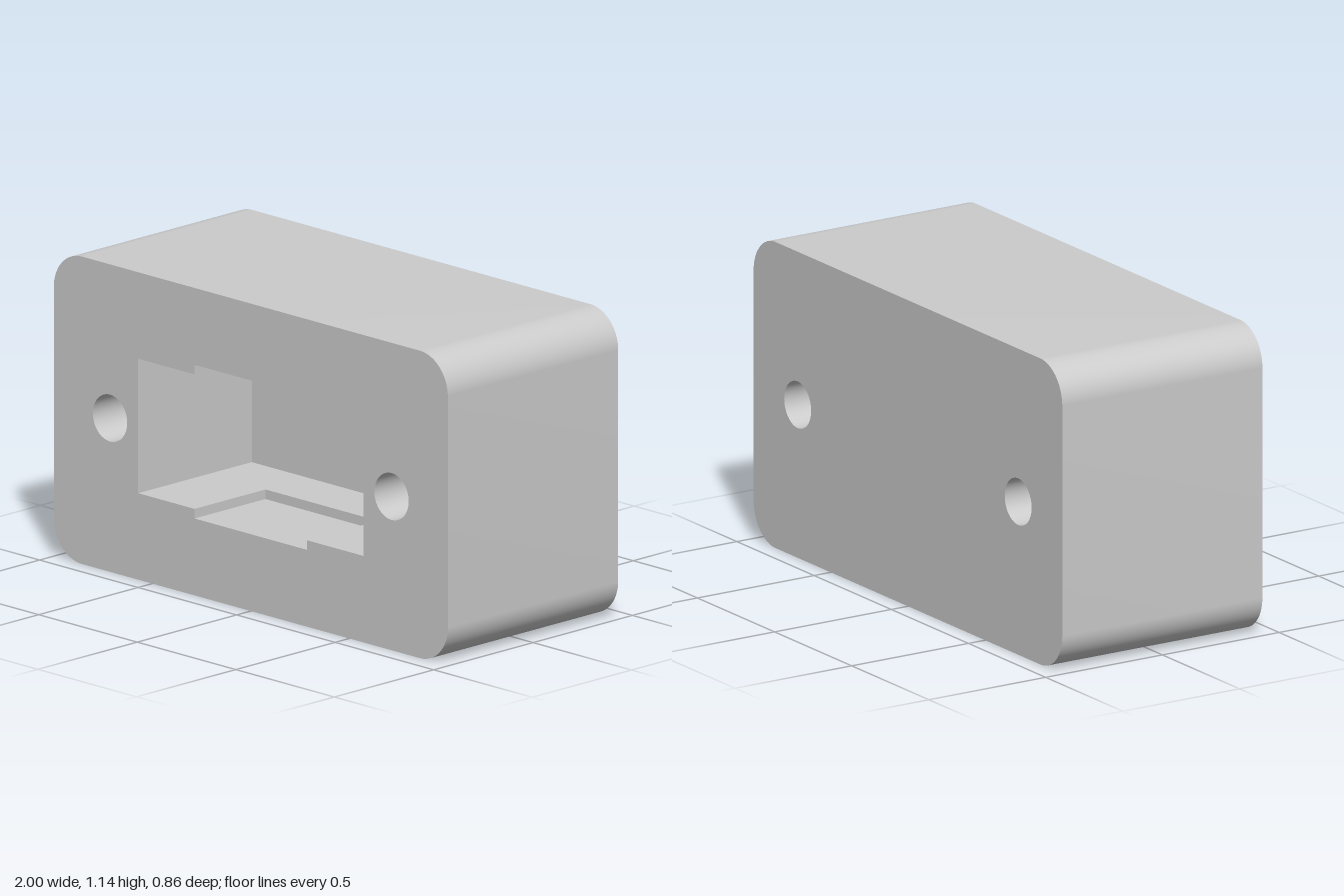
import * as THREE from 'three';
import { mergeGeometries, toCreasedNormals } from 'three/addons/utils/BufferGeometryUtils.js';

// Dimensions in small units, 14 to one model unit; z = 0 is mid-depth.
const UNIT = 1 / 14;
const HALF_W = 14, HEIGHT = 16, MID = 8, CORNER = 2;
const FRONT = 6, BACK = -6, RECESS_END = 1, POCKET_END = -2;
const POCKET_X = 8, POCKET_Y = 3.5, RECESS_X = 4, RECESS_Y = 4;

// Closed polygon, counter-clockwise, without repeated points
function polygon(path, divisions = 16) {
  const pts = path.getPoints(divisions);
  const list = pts.filter((p, i) => p.distanceTo(pts[(i + 1) % pts.length]) > 1e-5);
  return THREE.ShapeUtils.isClockWise(list) ? list.reverse() : list;
}

function rectangle(x0, y0, x1, y1) {
  return [[x0, y0], [x1, y0], [x1, y1], [x0, y1]].map(([x, y]) => new THREE.Vector2(x, y));
}

// Wall swept along z; inward walls line holes and cavities
function wall(points, z0, z1, inward = false) {
  const loop = inward ? [...points].reverse() : points;
  const pos = [];
  loop.forEach((a, i) => {
    const b = loop[(i + 1) % loop.length];
    pos.push(a.x, a.y, z0, b.x, b.y, z0, b.x, b.y, z1);
    pos.push(a.x, a.y, z0, b.x, b.y, z1, a.x, a.y, z1);
  });
  const geo = new THREE.BufferGeometry();
  geo.setAttribute('position', new THREE.Float32BufferAttribute(pos, 3));
  return geo;
}

// Flat face at depth z, facing forward or back
function face(points, holes, z, facingBack = false) {
  const shape = new THREE.Shape(points);
  shape.holes = holes.map((h) => new THREE.Path(h));
  const geo = new THREE.ShapeGeometry(shape).toNonIndexed();
  geo.deleteAttribute('uv');
  geo.deleteAttribute('normal');
  if (facingBack) {
    const p = geo.attributes.position;
    for (let i = 0; i < p.count; i++) p.setX(i, -p.getX(i)); // symmetric outline
    geo.attributes.position.array.reverse();
    // restore x, y, z order after reversing the triangle winding
    for (let i = 0; i < p.count; i++) p.setXYZ(i, -p.getZ(i), p.getY(i), p.getX(i));
  }
  return geo.translate(0, 0, z);
}

function createModel() {
  const model = new THREE.Group();
  const material = new THREE.MeshStandardMaterial({ color: 0xcccccc });
  const add = (name, parts) => {
    const geo = toCreasedNormals(mergeGeometries(parts), Math.PI / 6);
    geo.scale(UNIT, UNIT, UNIT);
    const mesh = new THREE.Mesh(geo, material);
    mesh.name = name;
    model.add(mesh);
  };

  // Rounded outline of the block
  const r = CORNER, outlinePath = new THREE.Path();
  outlinePath.absarc(HALF_W - r, r, r, -Math.PI / 2, 0);
  outlinePath.absarc(HALF_W - r, HEIGHT - r, r, 0, Math.PI / 2);
  outlinePath.absarc(-HALF_W + r, HEIGHT - r, r, Math.PI / 2, Math.PI);
  outlinePath.absarc(-HALF_W + r, r, r, Math.PI, Math.PI * 1.5);
  const outline = polygon(outlinePath);

  // Screw holes either side of the pocket
  const holes = [-10, 10].map((x) =>
    polygon(new THREE.Path().absarc(x, MID, 1.22, 0, Math.PI * 2), 24));

  // Pocket opening widened by a shallow recess above and below
  const opening = [
    [-POCKET_X, -POCKET_Y], [-RECESS_X, -POCKET_Y], [-RECESS_X, -RECESS_Y],
    [RECESS_X, -RECESS_Y], [RECESS_X, -POCKET_Y], [POCKET_X, -POCKET_Y],
    [POCKET_X, POCKET_Y], [RECESS_X, POCKET_Y], [RECESS_X, RECESS_Y],
    [-RECESS_X, RECESS_Y], [-RECESS_X, POCKET_Y], [-POCKET_X, POCKET_Y],
  ].map(([x, y]) => new THREE.Vector2(x, MID + y));
  const pocket = rectangle(-POCKET_X, MID - POCKET_Y, POCKET_X, MID + POCKET_Y);

  add('housing', [
    wall(outline, BACK, FRONT),
    face(outline, [opening, ...holes], FRONT),
    face(outline, holes, BACK, true),
  ]);
  add('screwHoles', holes.map((h) => wall(h, BACK, FRONT, true)));
  add('pocket', [
    wall(opening, RECESS_END, FRONT, true),
    wall(pocket, POCKET_END, RECESS_END, true),
    face(pocket, [], POCKET_END),
    face(rectangle(-RECESS_X, MID + POCKET_Y, RECESS_X, MID + RECESS_Y), [], RECESS_END),
    face(rectangle(-RECESS_X, MID - RECESS_Y, RECESS_X, MID - POCKET_Y), [], RECESS_END),
  ]);
  return model;
}

export { createModel };
